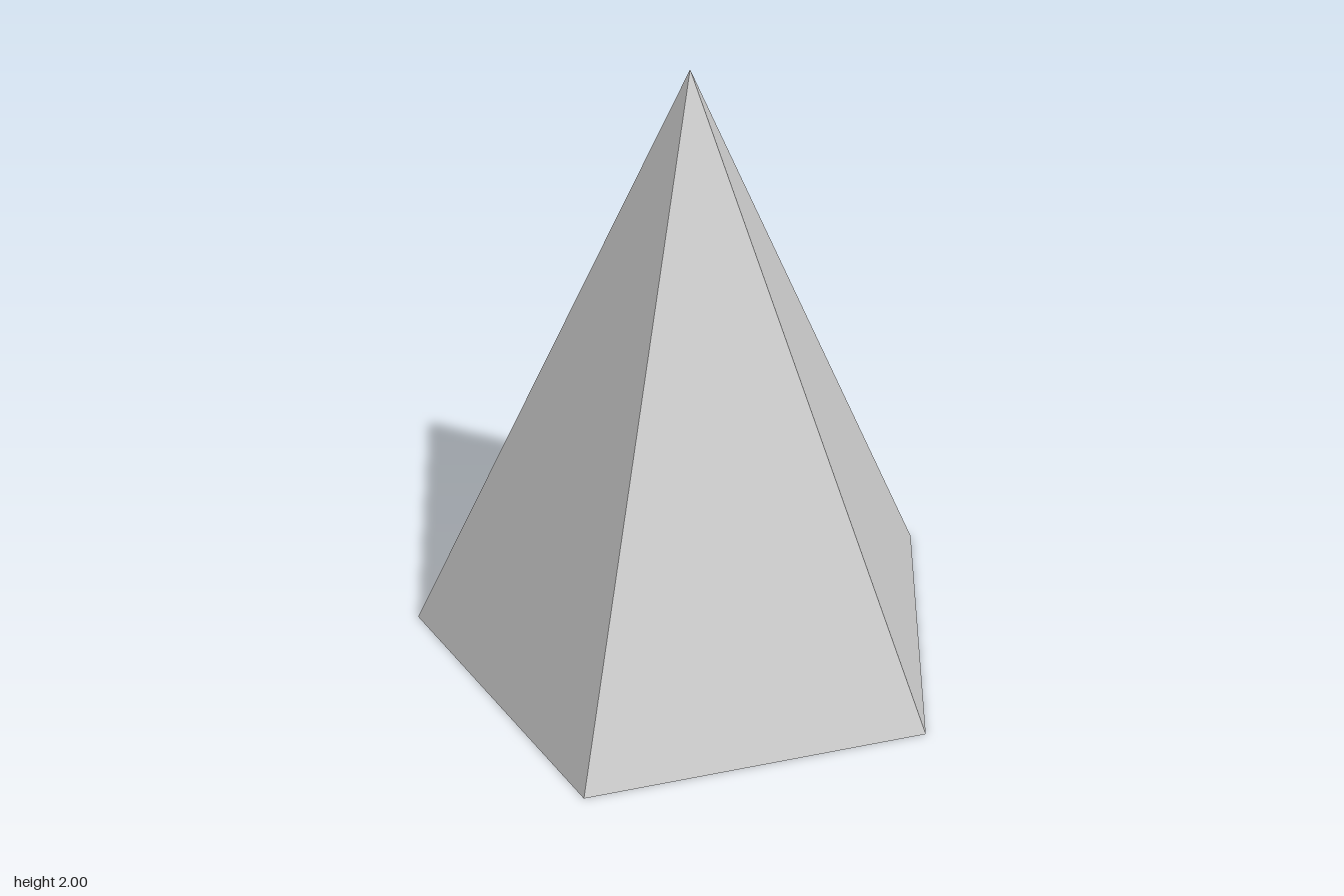
import * as THREE from 'three';
import { toCreasedNormals } from 'three/addons/utils/BufferGeometryUtils.js';

export function createModel() {
  const group = new THREE.Group();
  const axis = { x: -0.07, z: 0.012 };

  const add = (name, geometry, material, y) => {
    const mesh = new THREE.Mesh(geometry, material);
    mesh.name = name;
    mesh.position.set(axis.x, y, axis.z);
    group.add(mesh);
  };

  // Five-sided hollow shell, open underneath
  const shell = new THREE.ConeGeometry(0.938, 2, 5, 1, true, THREE.MathUtils.degToRad(21));
  add('pyramidShell', shell, new THREE.MeshStandardMaterial({
    color: 0xcccccc, flatShading: true, side: THREE.DoubleSide,
  }), 1);

  // Round disc with a raised rim around its underside, hung inside the shell
  const profile = [
    [0, 0.012], [0.205, 0.012], [0.205, 0], [0.235, 0], [0.235, 0.03], [0, 0.03],
  ].map(([r, y]) => new THREE.Vector2(r, y));
  const disc = toCreasedNormals(new THREE.LatheGeometry(profile, 48), 0.6);
  add('rimmedDisc', disc, new THREE.MeshStandardMaterial({
    color: 0xcccccc, side: THREE.DoubleSide,
  }), 0.23);

  return group;
}
